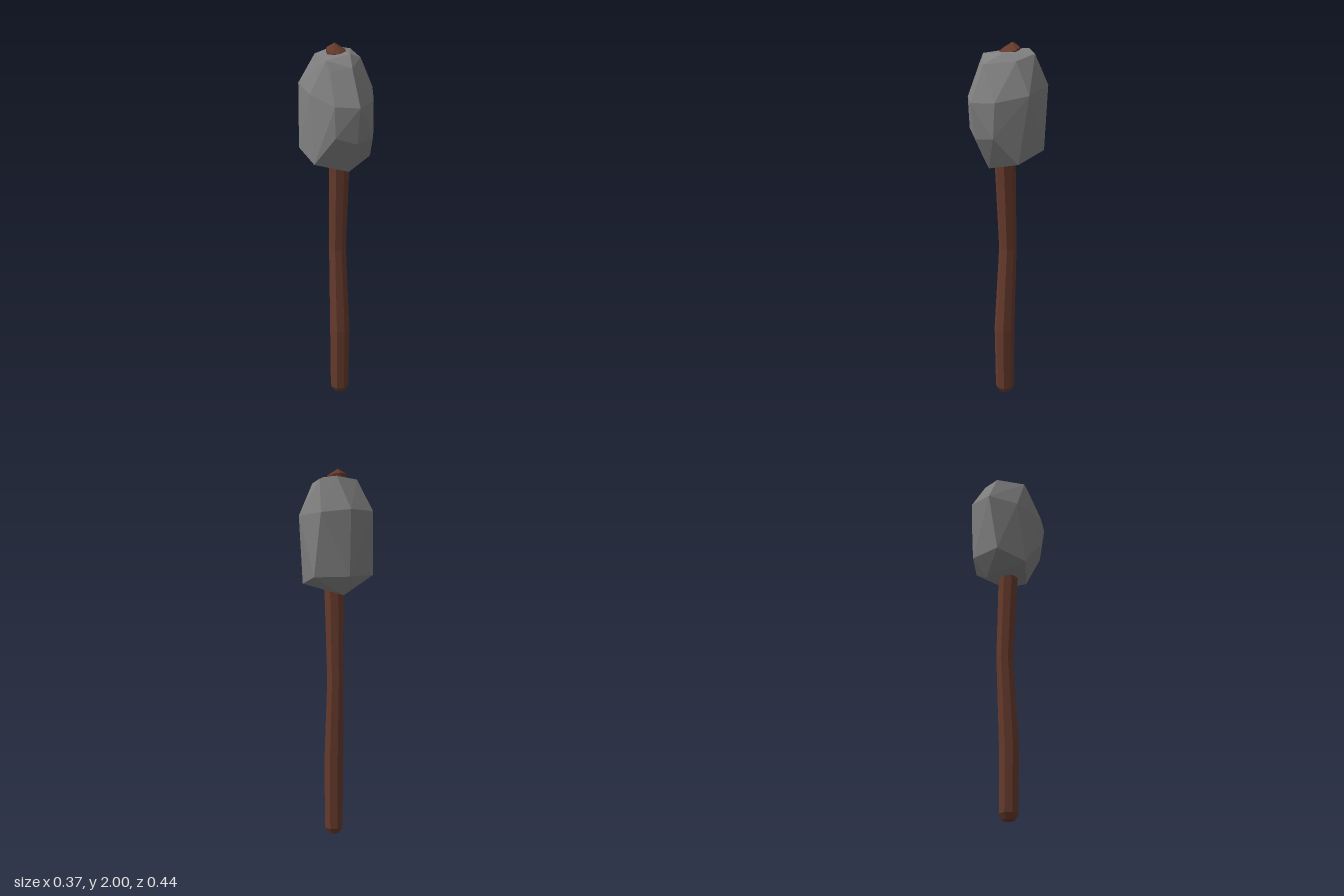
import * as THREE from 'three';
import { ConvexGeometry } from 'three/addons/geometries/ConvexGeometry.js';

const SIDES = 8;
const CENTRE_X = -0.013;

// Faceted loft through octagonal rings [y, z offset, radius, forward tilt], closed at both ends
function loft(rings, bottomTip, topTip) {
  const pos = [];
  const tri = (a, b, c) => pos.push(...a, ...b, ...c);
  const point = ([y, z, r, tilt = 0], i) => {
    const a = (i / SIDES) * Math.PI * 2;
    return [CENTRE_X + Math.sin(a) * r, y - tilt * Math.cos(a), z + Math.cos(a) * r];
  };
  const last = rings[rings.length - 1];
  for (let i = 0; i < SIDES; i++) {
    for (let k = 0; k < rings.length - 1; k++) {
      const l0 = point(rings[k], i), l1 = point(rings[k], i + 1);
      const u0 = point(rings[k + 1], i), u1 = point(rings[k + 1], i + 1);
      tri(l0, l1, u1);
      tri(l0, u1, u0);
    }
    tri(bottomTip, point(rings[0], i + 1), point(rings[0], i));
    tri(point(last, i), point(last, i + 1), topTip);
  }
  const geo = new THREE.BufferGeometry();
  geo.setAttribute('position', new THREE.Float32BufferAttribute(pos, 3));
  geo.computeVertexNormals();
  return geo;
}

export function createModel() {
  const wood = new THREE.MeshStandardMaterial({ color: 0x663a2c });
  wood.name = 'brown wood';
  const stone = new THREE.MeshStandardMaterial({ color: 0x808080 });
  stone.name = 'grey stone';

  const model = new THREE.Group();
  model.name = 'stoneMaul';

  // Slightly bowed handle running right through the head
  const handle = new THREE.Mesh(loft([
    [0.005, 0, 0.034],
    [0.035, 0, 0.052],
    [0.4, 0.003, 0.056],
    [0.88, -0.021, 0.048],
    [1.37, -0.002, 0.056],
    [1.965, -0.032, 0.053, 0.015],
  ], [CENTRE_X, 0, 0], [CENTRE_X, 2, -0.05]), wood);
  handle.name = 'handle';
  model.add(handle);

  // Rough-hewn head: corner points by level, hulled into flat facets
  const corners = [
    // underside
    [-0.015, 1.355, 0.105], [-0.015, 1.35, -0.13],
    // lower belt
    [-0.015, 1.525, 0.19], [0.095, 1.545, 0.162], [0.15, 1.4, 0.04], [0.152, 1.45, -0.13],
    [-0.015, 1.455, -0.21], [-0.183, 1.45, -0.13], [-0.18, 1.4, 0.035], [-0.118, 1.56, 0.15],
    // upper belt
    [-0.015, 1.72, 0.22], [0.1, 1.73, 0.155], [0.185, 1.76, 0], [0.13, 1.785, -0.172],
    [-0.015, 1.8, -0.222], [-0.16, 1.785, -0.172], [-0.178, 1.76, -0.01], [-0.125, 1.725, 0.155],
    // shoulders and crown
    [-0.015, 1.905, 0.136], [-0.113, 1.89, 0.088], [-0.12, 1.94, 0.057], [-0.1, 1.945, -0.1],
    [0.025, 1.965, -0.128], [0.108, 1.95, -0.1], [0.102, 1.925, 0.018], [0.024, 1.957, 0.046],
  ];
  const head = new THREE.Mesh(
    new ConvexGeometry(corners.map((c) => new THREE.Vector3(...c))), stone);
  head.name = 'stoneHead';
  model.add(head);

  return model;
}
